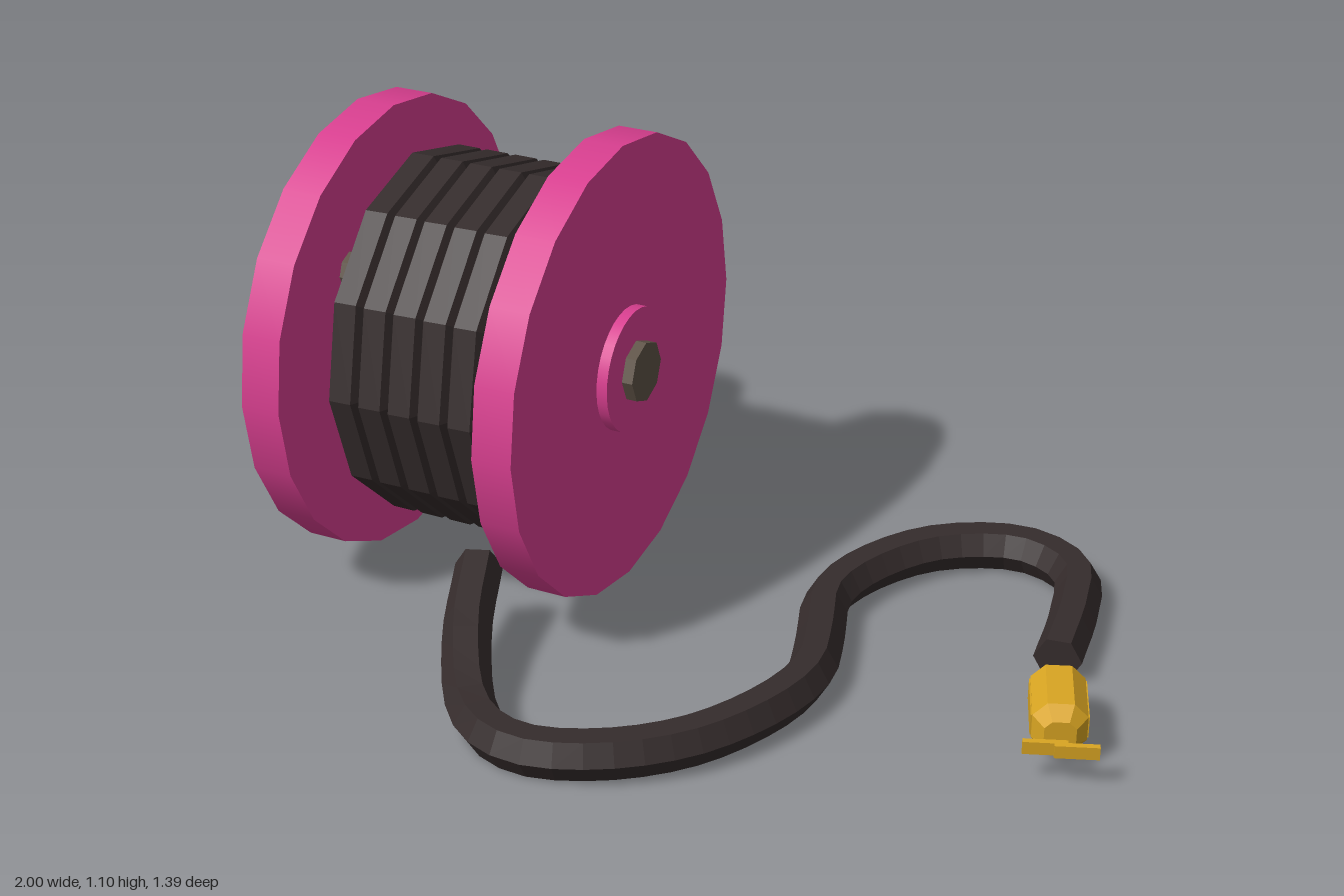
import * as THREE from 'three';

const mat = (name, color, flatShading = false) => {
  const m = new THREE.MeshStandardMaterial({ color, flatShading });
  m.name = name;
  return m;
};

// Sweeps a hexagon along points; refs give the "up" direction at each point.
function sweepHex(points, refs, radius) {
  const pos = [], idx = [], n = points.length;
  points.forEach((p, i) => {
    const t = points[Math.min(i + 1, n - 1)].clone().sub(points[Math.max(i - 1, 0)]).normalize();
    const side = refs[i].clone().cross(t).normalize();
    const up = t.clone().cross(side);
    for (let j = 0; j < 6; j++) {
      const a = j * Math.PI / 3;
      const v = p.clone().addScaledVector(side, radius * Math.cos(a)).addScaledVector(up, radius * Math.sin(a));
      pos.push(v.x, v.y, v.z);
    }
  });
  for (let i = 0; i < n - 1; i++) {
    for (let j = 0; j < 6; j++) {
      const a = i * 6 + j, b = i * 6 + (j + 1) % 6;
      idx.push(a, b, a + 6, b, b + 6, a + 6);
    }
  }
  const e = (n - 1) * 6;
  for (let j = 1; j < 5; j++) idx.push(0, j + 1, j, e, e + j, e + j + 1);
  const indexed = new THREE.BufferGeometry();
  indexed.setAttribute('position', new THREE.Float32BufferAttribute(pos, 3));
  indexed.setIndex(idx);
  const g = indexed.toNonIndexed();
  g.computeVertexNormals();
  return g;
}

export function createModel() {
  const model = new THREE.Group();
  const pink = mat('reel pink', 0xd93f90);
  const black = mat('cable black', 0x352c2c, true);
  const grey = mat('axle grey', 0x5e5246, true);
  const gold = mat('plug gold', 0xd9a522, true);

  const add = (parent, name, geometry, material) => {
    const mesh = new THREE.Mesh(geometry, material);
    mesh.name = name;
    parent.add(mesh);
    return mesh;
  };

  // Reel, built around its own axle
  const reel = new THREE.Group();
  reel.name = 'reel';
  reel.position.set(-0.608, 0.56, -0.16);
  model.add(reel);
  const disc = (name, r, x0, x1, sides, material, y = 0, z = 0) => {
    const g = new THREE.CylinderGeometry(r, r, x1 - x0, sides).rotateZ(Math.PI / 2);
    add(reel, name, g, material).position.set((x0 + x1) / 2, y, z);
  };
  disc('axle', 0.073, -0.392, 0.392, 8, grey);
  for (const s of [-1, 1]) {
    const span = (a, b) => [Math.min(s * a, s * b), Math.max(s * a, s * b)];
    disc('flange', 0.54, ...span(0.244, 0.34), 20, pink);
    disc('hub', 0.147, ...span(0.33, 0.366), 32, pink);
  }
  for (const y of [-0.22, 0.22]) {
    for (const z of [-0.22, 0.22]) disc('tieRod', 0.045, -0.339, 0.339, 8, grey, y, z);
  }

  // Cable wound on the reel
  const coil = [], radial = [];
  const turns = 5, perTurn = 12;
  for (let i = 0; i <= turns * perTurn; i++) {
    const a = i / perTurn * Math.PI * 2;
    const r = new THREE.Vector3(0, Math.sin(a), -Math.cos(a));
    radial.push(r);
    coil.push(r.clone().multiplyScalar(0.385).setX(-0.192 + 0.38 * i / (turns * perTurn)));
  }
  add(reel, 'woundCable', sweepHex(coil, radial, 0.055), black);

  // Loose cable lying on the floor
  const path = [
    [-0.47, 0.175, 0.19], [-0.39, 0.115, 0.39], [-0.265, 0.055, 0.575], [-0.13, 0.055, 0.64],
    [0.03, 0.058, 0.6], [0.19, 0.058, 0.47], [0.295, 0.058, 0.27], [0.318, 0.058, 0.12],
    [0.28, 0.058, -0.03], [0.23, 0.058, -0.2], [0.265, 0.058, -0.36], [0.377, 0.058, -0.52],
    [0.565, 0.058, -0.6], [0.71, 0.058, -0.535], [0.762, 0.058, -0.375], [0.792, 0.058, -0.17],
  ].map(p => new THREE.Vector3(...p));
  const loose = new THREE.CatmullRomCurve3(path, false, 'centripetal').getSpacedPoints(48);
  add(model, 'looseCable', sweepHex(loose, loose.map(() => new THREE.Vector3(0, 1, 0)), 0.055), black);

  // Plug: chamfered body, side panels and two pins
  const plug = new THREE.Group();
  plug.name = 'plug';
  plug.position.set(0.868, 0.088, 0.055);
  plug.rotation.y = 0.36;
  model.add(plug);
  const h = 0.034, c = 0.018;
  const section = new THREE.Shape([
    [h, -c], [h, c], [c, h], [-c, h], [-h, c], [-h, -c], [-c, -h], [c, -h],
  ].map(p => new THREE.Vector2(...p)));
  const body = new THREE.ExtrudeGeometry(section, {
    depth: 0.15, bevelThickness: 0.033, bevelSize: 0.025, bevelSegments: 1,
  }).translate(0, 0, -0.075);
  add(plug, 'plugBody', body, gold);
  for (const s of [-1, 1]) {
    add(plug, 'sidePanel', new THREE.BoxGeometry(0.008, 0.05, 0.14), gold).position.x = s * 0.058;
    const pin = add(plug, 'pin', new THREE.BoxGeometry(0.095, 0.03, 0.014), gold);
    pin.position.set(s * 0.033, 0, 0.156 + s * 0.005);
  }
  return model;
}
